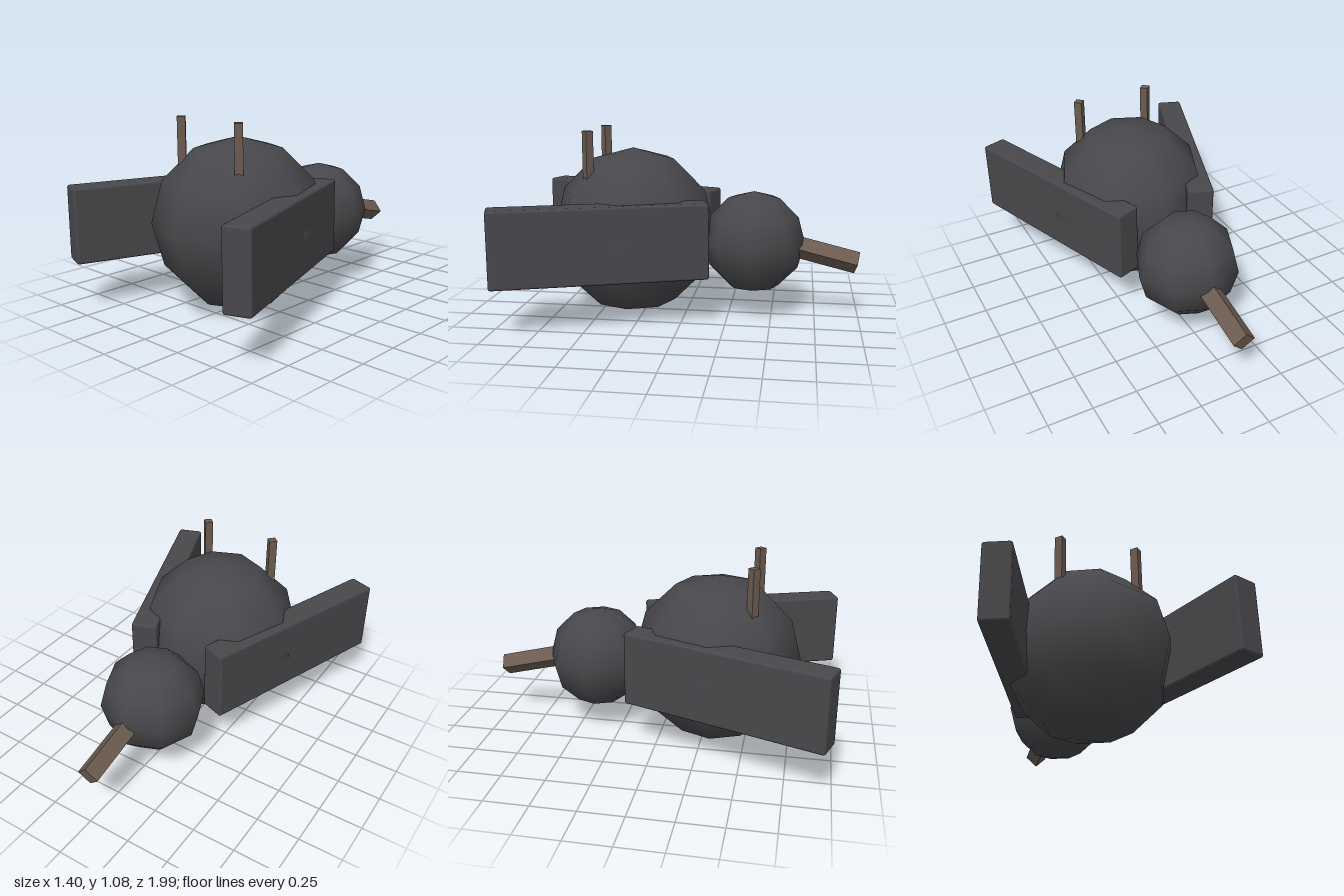
import * as THREE from 'three';
import { RoundedBoxGeometry } from 'three/addons/geometries/RoundedBoxGeometry.js';

export function createModel() {
  const model = new THREE.Group();
  model.name = 'bird';

  const feather = new THREE.MeshStandardMaterial({ color: 0x48474b });
  feather.name = 'charcoal feathers';
  const horn = new THREE.MeshStandardMaterial({ color: 0x6b5b50, flatShading: true });
  horn.name = 'brown horn';

  function add(name, geometry, material, x, y, z) {
    const mesh = new THREE.Mesh(geometry, material);
    mesh.name = name;
    mesh.position.set(x, y, z);
    model.add(mesh);
    return mesh;
  }

  // Coarse, smoothly shaded body and head
  add('body', new THREE.SphereGeometry(0.484, 8, 6), feather, 0, 0.486, 0.314);
  add('head', new THREE.SphereGeometry(0.295, 8, 6), feather, 0, 0.434, -0.391);

  // Four-sided beak, ridge up, drooping toward its tip
  const tilt = THREE.MathUtils.degToRad(13.7);
  const beakLength = 0.44;
  const beak = add('beak', new THREE.CylinderGeometry(0.064, 0.064, beakLength, 4), horn,
    0, 0.327 + Math.sin(tilt) * beakLength / 2, -0.984 + Math.cos(tilt) * beakLength / 2);
  beak.rotation.x = -Math.PI / 2 - tilt;

  // Splayed slab wings and upturned legs, mirrored
  for (const side of [1, -1]) {
    const label = side > 0 ? 'left' : 'right';
    const wing = add(label + 'Wing', new RoundedBoxGeometry(0.15, 0.425, 1.187, 2, 0.014), feather,
      side * 0.433, 0.4875, 0.415);
    wing.rotation.y = side * THREE.MathUtils.degToRad(19.8);
    add(label + 'Leg', new THREE.CylinderGeometry(0.032, 0.032, 0.4, 4), horn, side * 0.217, 0.88, 0.527);
  }
  return model;
}
